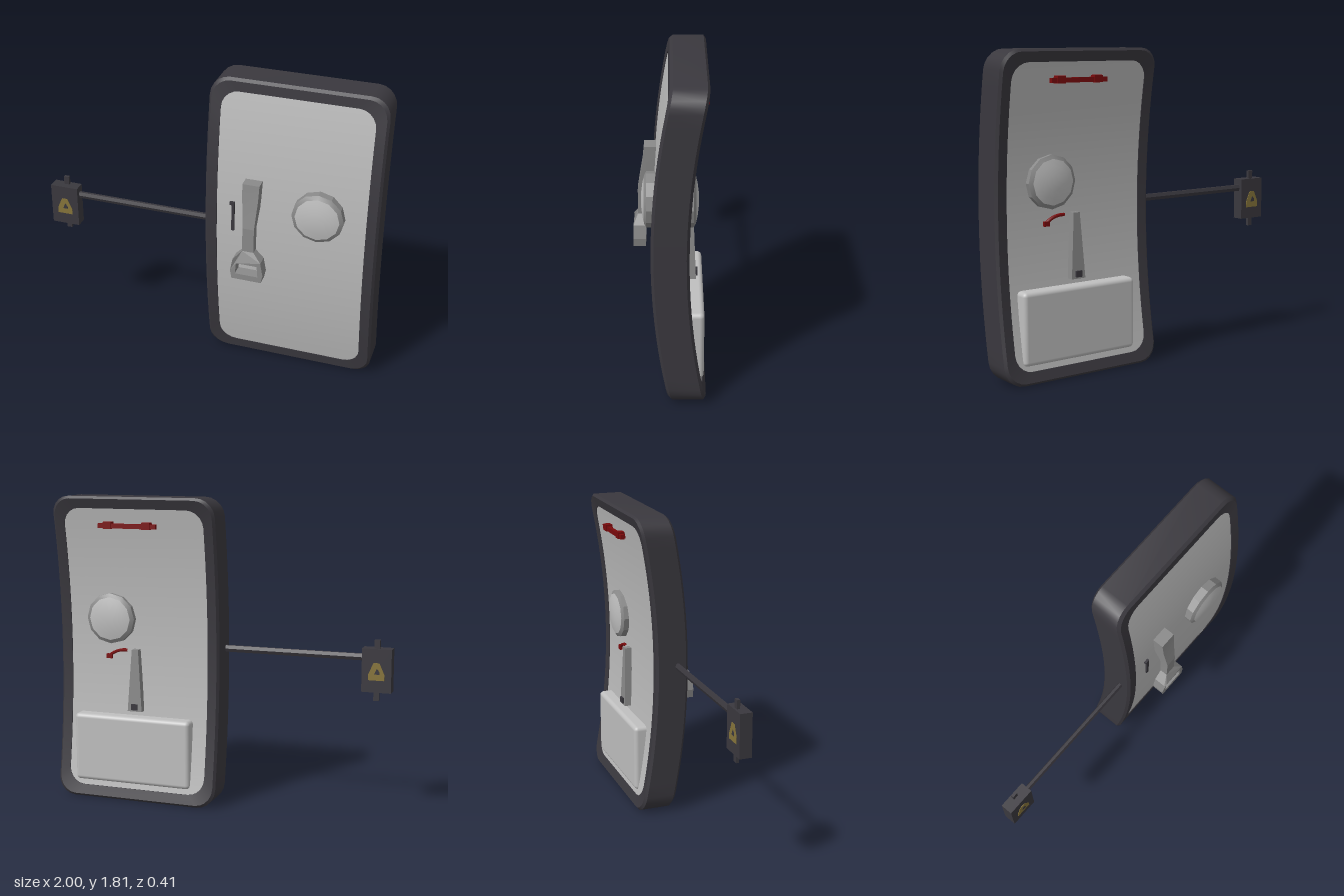
import * as THREE from 'three';
import { toCreasedNormals } from 'three/addons/utils/BufferGeometryUtils.js';
import { RoundedBoxGeometry } from 'three/addons/geometries/RoundedBoxGeometry.js';

const HALF = 0.905; // half the door height
const CX = 0.495;   // door centre in x

// Forward bow of the door at a given height
const bow = (y) => 0.1 * (1 - ((y - HALF) / HALF) ** 2);

// Moves every vertex by a rule and recomputes the normals
function reshape(geo, rule, crease = 0.6) {
  const p = geo.attributes.position;
  const v = new THREE.Vector3();
  for (let i = 0; i < p.count; i++) {
    v.fromBufferAttribute(p, i);
    rule(v);
    p.setXYZ(i, v.x, v.y, v.z);
  }
  return toCreasedNormals(geo, crease);
}

// Rounded rectangle outline with subdivided upright sides, counter-clockwise
function outline(inset, r) {
  const w = 0.505 - inset, h = HALF - inset, pts = [], n = 20;
  const corner = (sx, sy, start) => {
    for (let k = 0; k <= 5; k++) {
      const a = start + (k / 5) * Math.PI / 2;
      pts.push([sx * (w - r) + r * Math.cos(a), sy * (h - r) + r * Math.sin(a)]);
    }
  };
  const side = (s) => {
    for (let k = 1; k < n; k++) pts.push([s * w, s * (h - r) * (2 * k / n - 1)]);
  };
  side(1);
  corner(1, 1, 0);
  corner(-1, 1, Math.PI / 2);
  side(-1);
  corner(-1, -1, Math.PI);
  corner(1, -1, Math.PI * 1.5);
  return pts;
}

// Bowed ring swept from a closed profile of [inset, z, corner radius]
function frameGeometry() {
  const profile = [[0, -0.185, 0.11], [0, -0.015, 0.11], [0.014, 0, 0.105], [0.07, -0.006, 0.1],
    [0.07, -0.194, 0.1], [0.014, -0.2, 0.105]];
  const loops = profile.map(([d, , r]) => outline(d, r));
  const pos = [], idx = [], n = loops[0].length, m = profile.length;
  loops.forEach((loop, j) => loop.forEach(([x, y]) =>
    pos.push(CX + x, y + HALF, profile[j][1] + bow(y + HALF))));
  for (let j = 0; j < m; j++) {
    for (let i = 0; i < n; i++) {
      const i2 = (i + 1) % n, j2 = (j + 1) % m;
      const a = j * n + i, b = j * n + i2, c = j2 * n + i2, d = j2 * n + i;
      idx.push(a, b, c, a, c, d);
    }
  }
  const g = new THREE.BufferGeometry();
  g.setAttribute('position', new THREE.Float32BufferAttribute(pos, 3));
  g.setIndex(idx);
  return toCreasedNormals(g, 0.5);
}

// Bar through rows of [y, half width, back z, front z], top row first
function loft(cx, rows) {
  const n = rows.length - 1;
  return reshape(new THREE.BoxGeometry(1, 1, 1, 1, n, 1), (v) => {
    const [y, hw, zb, zf] = rows[Math.round((0.5 - v.y) * n)];
    v.set(cx + Math.sign(v.x) * hw, y, v.z > 0 ? zf : zb);
  }, 0.1);
}

const shape = (pts) => new THREE.Shape(pts.map(([x, y]) => new THREE.Vector2(x, y)));

export function createModel() {
  const root = new THREE.Group();
  const mat = (name, color) => {
    const m = new THREE.MeshStandardMaterial({ color });
    m.name = name;
    return m;
  };
  const dark = mat('dark frame', 0x3a383e);
  const pale = mat('pale panel', 0xbcbcbc);
  const grey = mat('handle grey', 0x8a8a8a);
  const glass = mat('window glass', 0xbfbfbf);
  const red = mat('red', 0x7a0a0c);
  const yellow = mat('dull yellow', 0x86743a);

  const add = (name, geo, material, x = 0, y = 0, z = 0, parent = root) => {
    const m = new THREE.Mesh(geo, material);
    m.name = name;
    m.position.set(x, y, z);
    parent.add(m);
    return m;
  };
  // Box given by its limits
  const box = (name, material, x0, x1, y0, y1, z0, z1) =>
    add(name, new THREE.BoxGeometry(x1 - x0, y1 - y0, z1 - z0), material,
      (x0 + x1) / 2, (y0 + y1) / 2, (z0 + z1) / 2);

  // Door leaf
  add('doorFrame', frameGeometry(), dark);
  add('doorPanel', reshape(new THREE.BoxGeometry(0.91, 1.71, 0.18, 1, 28, 1), (v) => {
    v.x += CX;
    v.y += HALF;
    v.z += bow(v.y) - 0.1;
  }), pale);

  // Round window, a rim and a shallow dome on both faces
  const lathe = (pts) => toCreasedNormals(new THREE.LatheGeometry(
    pts.map(([r, h]) => new THREE.Vector2(r, h)), 12), 0.4);
  const rim = lathe([[0.15, 0], [0.15, 0.125], [0.128, 0.138]]);
  const dome = lathe([[0.129, 0.137], [0.09, 0.146], [0.045, 0.152], [0, 0.154]]);
  for (const s of [1, -1]) {
    const win = new THREE.Group();
    win.name = s > 0 ? 'frontWindow' : 'backWindow';
    win.position.set(0.66, 1.09, 0);
    win.rotation.x = s * Math.PI / 2;
    add('windowRim', rim, grey, 0, 0, 0, win);
    add('windowGlass', dome, glass, 0, 0, 0, win);
    root.add(win);
  }

  // Front handle: cranked bar and a grip with a finger hole
  add('handleBar', loft(0.277, [[1.245, 0.05, 0.06, 0.143], [1.15, 0.046, 0.06, 0.152],
    [0.98, 0.034, 0.125, 0.18], [0.8, 0.034, 0.135, 0.18]]), grey);
  const grip = shape([[-0.088, 0.65], [0.088, 0.65], [0.098, 0.7], [0.083, 0.78],
    [0.034, 0.83], [-0.034, 0.83], [-0.083, 0.78], [-0.098, 0.7]]);
  grip.holes.push(shape([[-0.068, 0.685], [-0.062, 0.755], [0.062, 0.755], [0.068, 0.685]]));
  add('handleGrip', reshape(new THREE.ExtrudeGeometry(grip, { depth: 0.07, bevelEnabled: false }), (v) => {
    if (v.z > 0.03 && v.y > 0.8) v.z -= 0.025;
  }, 0.1), grey, 0.277, 0, 0.135);

  // Narrow slot beside the handle
  box('slot', dark, 0.151, 0.168, 0.905, 1.08, 0.08, 0.1);
  box('slotTop', dark, 0.14, 0.168, 1.07, 1.09, 0.08, 0.1);

  // Back lever with its pivot
  add('backLever', loft(0.505, [[0.91, 0.02, -0.085, -0.13], [0.54, 0.045, -0.085, -0.145]]
    .map(([y, w, f, b]) => [y, w, b, f])), grey);
  box('leverPivot', dark, 0.485, 0.525, 0.55, 0.585, -0.155, -0.12);

  // Curved red marker beside the lever
  const arc = new THREE.QuadraticBezierCurve3(new THREE.Vector3(0.69, 0.855, -0.095),
    new THREE.Vector3(0.64, 0.905, -0.095), new THREE.Vector3(0.565, 0.9, -0.095));
  add('redMarker', new THREE.TubeGeometry(arc, 8, 0.01, 6), red);
  box('redMarkerEnd', red, 0.665, 0.7, 0.845, 0.872, -0.105, -0.08);

  // Red grab bar at the top of the back
  box('grabBar', red, 0.34, 0.7, 1.628, 1.655, -0.195, -0.172);
  for (const x of [0.4, 0.64]) box('grabBarBracket', red, x - 0.025, x + 0.025, 1.625, 1.665, -0.2, -0.14);

  // Storage pocket on the lower back
  add('pocket', new RoundedBoxGeometry(0.735, 0.41, 0.12, 3, 0.025), glass, 0.515, 0.305, -0.125);

  // Side arm, a hexagonal rod
  const rod = new THREE.CylinderGeometry(0.022, 0.022, 0.85, 6).toNonIndexed();
  rod.computeVertexNormals();
  rod.scale(1, 1, 0.7);
  rod.rotateZ(Math.PI / 2);
  add('sideArm', rod, dark, -0.415, 0.925, 0.032);

  // Lock box with upright tab
  box('lockBox', dark, -1, -0.83, 0.73, 0.98, 0, 0.07);
  box('lockTab', dark, -0.93, -0.898, 0.68, 1.03, 0.012, 0.03);

  // Warning plates on both faces of the lock box
  const plate = shape([[-0.046, -0.05], [0.046, -0.05], [0.046, -0.015], [0.017, 0.05],
    [-0.017, 0.05], [-0.046, -0.015]]);
  const mark = shape([[-0.012, -0.015], [0.02, -0.015], [0.016, 0.003], [0.002, 0.018]]);
  const thin = (s) => new THREE.ExtrudeGeometry(s, { depth: 0.003, bevelEnabled: false });
  for (const s of [1, -1]) {
    const sign = new THREE.Group();
    sign.name = s > 0 ? 'frontWarning' : 'backWarning';
    sign.position.set(-0.915, 0.85, s > 0 ? 0.07 : 0);
    sign.rotation.y = s > 0 ? 0 : Math.PI;
    add('warningPlate', thin(plate), yellow, 0, 0, 0, sign);
    add('warningMark', thin(mark), dark, 0, 0, 0.002, sign);
    root.add(sign);
  }
  return root;
}
